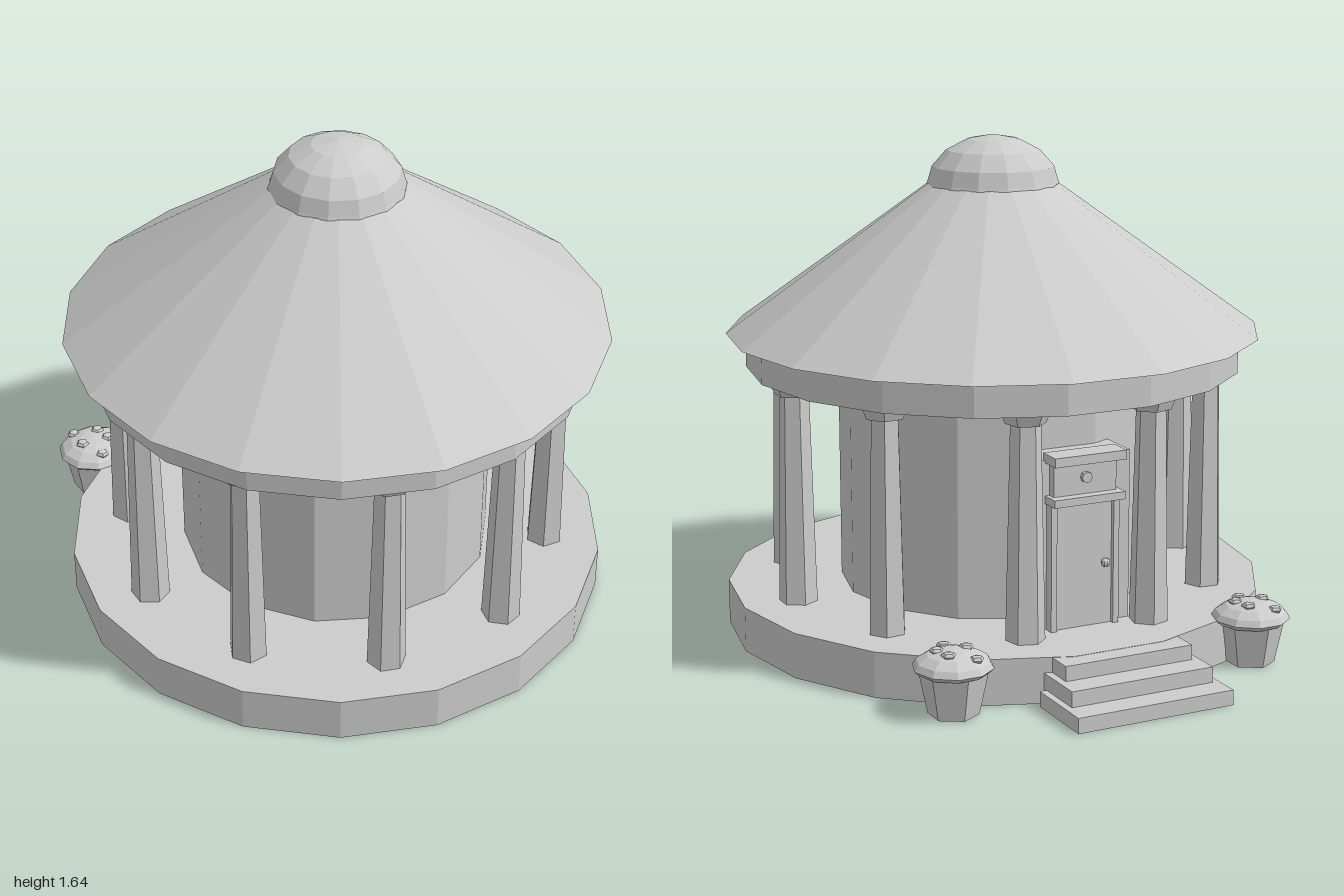
import * as THREE from 'three';

const stone = new THREE.MeshStandardMaterial({ color: 0xcccccc, flatShading: true, side: THREE.DoubleSide });
stone.name = 'grey stone';

export function createModel() {
  const model = new THREE.Group();
  const centreZ = 0.118;

  function add(parent, name, geometry, x = 0, y = 0, z = 0) {
    const mesh = new THREE.Mesh(geometry, stone);
    mesh.name = name;
    mesh.position.set(x, y, z);
    parent.add(mesh);
    return mesh;
  }
  // leaves out one face group of a geometry
  function without(geometry, group) {
    const { start, count } = geometry.groups[group];
    const index = Array.from(geometry.index.array);
    index.splice(start, count);
    geometry.setIndex(index);
    geometry.clearGroups();
    return geometry;
  }
  // upright drum between two heights, with a corner pointing to +x
  function drum(parent, name, rTop, rBottom, y0, y1, sides, hollow = false) {
    const g = new THREE.CylinderGeometry(rTop, rBottom, y1 - y0, sides, 1, false, Math.PI / 2);
    return add(parent, name, hollow ? without(g, 2) : g, 0, (y0 + y1) / 2, 0);
  }
  // box given by its half width and limits
  function block(parent, name, halfX, y0, y1, z0, z1, hollow = false) {
    const g = new THREE.BoxGeometry(2 * halfX, y1 - y0, z1 - z0);
    return add(parent, name, hollow ? without(g, 3) : g, 0, (y0 + y1) / 2, (z0 + z1) / 2);
  }
  function lathe(points, sides) {
    return new THREE.LatheGeometry(points.map(p => new THREE.Vector2(...p)), sides, Math.PI / 2);
  }

  // round building on a base that is open underneath
  const rotunda = new THREE.Group();
  rotunda.name = 'rotunda';
  rotunda.position.z = centreZ;
  model.add(rotunda);
  drum(rotunda, 'base', 0.896, 0.896, 0, 0.148, 18, true);
  drum(rotunda, 'innerWall', 0.517, 0.517, 0.148, 0.885, 14);
  drum(rotunda, 'ringBeam', 0.819, 0.819, 0.881, 0.994, 18);
  drum(rotunda, 'roof', 0.214, 0.883, 0.994, 1.478, 18, true);
  add(rotunda, 'dome', lathe([[0.218, 1.476], [0.214, 1.487], [0.2, 1.535], [0.153, 1.588], [0.084, 1.623], [0, 1.638]], 14));

  // ring of columns
  for (let i = 0; i < 10; i++) {
    const angle = (18 + 36 * i) * Math.PI / 180;
    const column = new THREE.Group();
    column.name = 'column';
    column.position.set(0.71 * Math.sin(angle), 0, 0.71 * Math.cos(angle));
    column.rotation.y = angle;
    rotunda.add(column);
    drum(column, 'shaft', 0.048, 0.063, 0.148, 0.845, 6);
    drum(column, 'capital', 0.082, 0.064, 0.84, 0.883, 6);
  }

  // doorway at the back
  const doorway = new THREE.Group();
  doorway.name = 'doorway';
  model.add(doorway);
  block(doorway, 'doorBlock', 0.175, 0.148, 0.7, -0.505, -0.35);
  block(doorway, 'doorPanel', 0.1, 0.148, 0.56, -0.525, -0.5);
  for (const s of [-1, 1]) {
    block(doorway, 'doorJamb', 0.01, 0.148, 0.56, -0.54, -0.5).position.x = s * 0.11;
  }
  block(doorway, 'lintel', 0.125, 0.56, 0.585, -0.57, -0.5);
  block(doorway, 'overDoorPlate', 0.11, 0.585, 0.69, -0.535, -0.5);
  block(doorway, 'cornice', 0.125, 0.69, 0.72, -0.575, -0.49);
  const boss = drum(doorway, 'boss', 0.018, 0.018, -0.01, 0.01, 8);
  boss.position.set(0, 0.64, -0.54);
  boss.rotation.x = Math.PI / 2;
  add(doorway, 'doorKnob', new THREE.SphereGeometry(0.015, 8, 6), -0.075, 0.35, -0.535);

  // nested steps, open underneath and running into the base
  [[0.267, 0.049, -1, -0.75], [0.244, 0.099, -0.915, -0.7], [0.22, 0.147, -0.83, -0.65]].forEach(([w, top, z0, z1]) => {
    block(model, 'step', w, 0, top, z0, z1, true);
  });

  // planters beside the steps
  for (const s of [-1, 1]) {
    const planter = new THREE.Group();
    planter.name = 'planter';
    planter.position.set(s * 0.525, 0, -0.683);
    model.add(planter);
    drum(planter, 'pot', 0.108, 0.079, 0, 0.14, 6, true).rotation.y = Math.PI / 6;
    add(planter, 'bush', lathe([[0, 0.135], [0.11, 0.135], [0.126, 0.15], [0.114, 0.17], [0.083, 0.19], [0.045, 0.201], [0, 0.205]], 10));
    // flattened blossoms on top
    for (let i = 0; i < 5; i++) {
      const a = i * Math.PI * 0.4 + 0.4;
      const r = i % 2 ? 0.085 : 0.05;
      const y = i % 2 ? 0.188 : 0.2;
      add(planter, 'blossom', new THREE.SphereGeometry(0.024, 5, 4), r * Math.cos(a), y, r * Math.sin(a)).scale.y = 0.5;
    }
  }
  return model;
}
